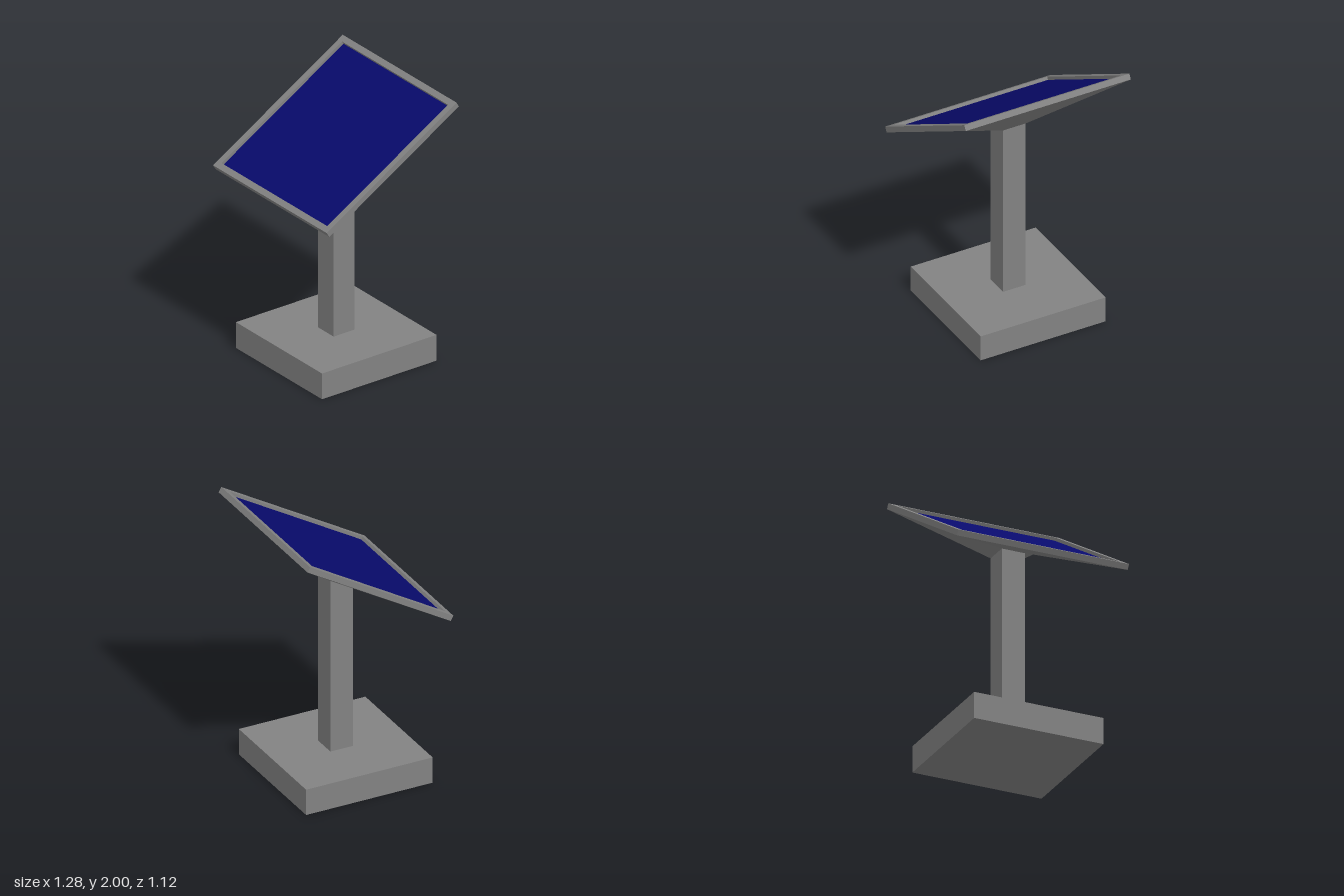
import * as THREE from 'three';

export function createModel() {
  const root = new THREE.Group();
  const grey = new THREE.MeshStandardMaterial({ color: 0x828282 });
  const blue = new THREE.MeshStandardMaterial({ color: 0x080a6c });

  function add(parent, name, geometry, material = grey, y = 0) {
    const mesh = new THREE.Mesh(geometry, material);
    mesh.name = name;
    mesh.position.y = y;
    parent.add(mesh);
  }

  const baseH = 0.195, postTop = 1.512, postHalf = 0.0875;
  const half = 0.64, thick = 0.041, inner = 0.595, floor = 0.019;

  // Square foot and post
  add(root, 'base', new THREE.BoxGeometry(0.97, baseH, 0.97), grey, baseH / 2);
  add(root, 'post', new THREE.BoxGeometry(postHalf * 2, postTop - baseH, postHalf * 2), grey, (postTop + baseH) / 2);

  // Tilted panel; its local y = 0 is the underside
  const panel = new THREE.Group();
  panel.name = 'panel';
  panel.position.set(0, 1.637, -0.0085);
  panel.rotation.x = THREE.MathUtils.degToRad(30.9);
  panel.updateMatrix();
  root.add(panel);

  // Raised rim with a square opening
  const square = (path, r) => path.moveTo(-r, -r).lineTo(r, -r).lineTo(r, r).lineTo(-r, r).closePath();
  const rim = square(new THREE.Shape(), half);
  rim.holes.push(square(new THREE.Path(), inner));
  const rimGeometry = new THREE.ExtrudeGeometry(rim, { depth: thick, bevelEnabled: false });
  rimGeometry.rotateX(-Math.PI / 2);
  add(panel, 'panelRim', rimGeometry);

  // Recessed blue surface
  add(panel, 'panelSurface', new THREE.BoxGeometry(inner * 2, floor, inner * 2), blue, floor / 2);

  // Tapered support between the panel underside and the top of the post
  const corners = [[1, 1], [1, -1], [-1, -1], [-1, 1]];
  const upper = corners.map(([x, z]) => new THREE.Vector3(x * half, 0, z * half).applyMatrix4(panel.matrix));
  const lower = corners.map(([x, z]) => new THREE.Vector3(x * postHalf, postTop, z * postHalf));
  const points = [], normals = [];
  for (let i = 0; i < 4; i++) {
    const j = (i + 1) % 4;
    points.push(upper[i], lower[i], upper[j], upper[j], lower[i], lower[j]);
    // One shared normal per side, from its diagonals
    const normal = lower[j].clone().sub(upper[i]).cross(upper[j].clone().sub(lower[i])).normalize();
    for (let k = 0; k < 6; k++) normals.push(...normal);
  }
  const support = new THREE.BufferGeometry().setFromPoints(points);
  support.setAttribute('normal', new THREE.Float32BufferAttribute(normals, 3));
  add(root, 'panelSupport', support);

  return root;
}
